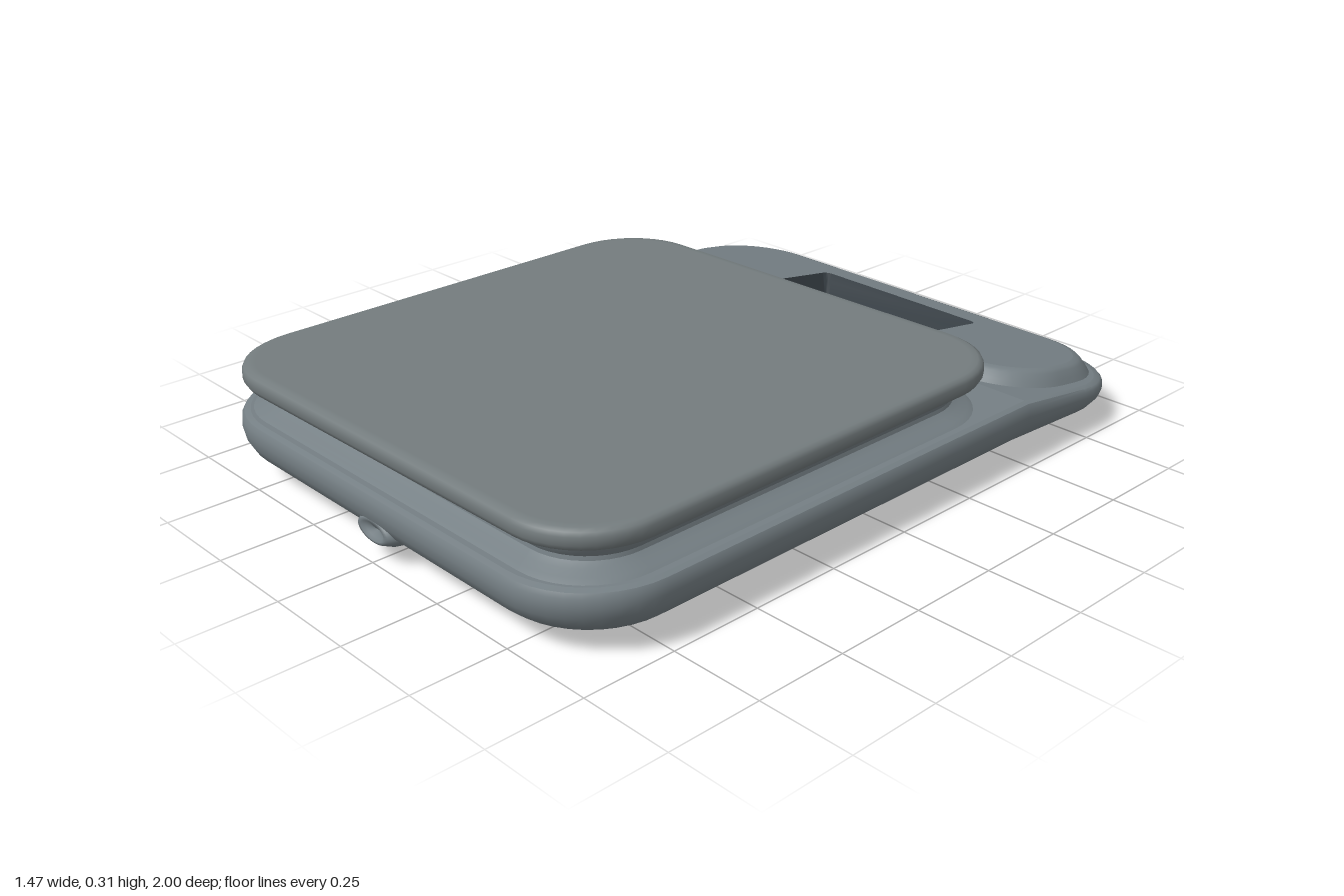
import * as THREE from 'three';
import { toCreasedNormals } from 'three/addons/utils/BufferGeometryUtils.js';

const bodyMaterial = new THREE.MeshStandardMaterial({ color: 0x757f84 });
const plateMaterial = new THREE.MeshStandardMaterial({ color: 0x747c7e });
const windowMaterial = new THREE.MeshStandardMaterial({ color: 0x3a4248 });
const CREASE = -0.5; // z where the deck starts to slope down towards the back

// Height of the deck, flat at the front and sloping under the display
const deckY = (z) => 0.175 + 0.15 * Math.min(0, z - CREASE);

// Rounded rectangle in the xz plane, shrunk by an inset; side points are shared between rings
function ring({ hx, z0, z1, r }, inset = 0) {
  const x = hx - inset, a = z0 + inset, b = z1 - inset;
  const c = Math.max(0.01, r - inset * 0.7), n = 10, pts = [];
  const corners = [[x - c, b - c], [c - x, b - c], [c - x, a + c], [x - c, a + c]];
  corners.forEach(([cx, cz], k) => {
    for (let i = 0; i <= n; i++) {
      const t = (k + i / n) * Math.PI / 2;
      pts.push([cx + c * Math.cos(t), cz + c * Math.sin(t)]);
    }
    if (k % 2) { // crease points on the two long sides
      const z = a + c < CREASE && b - c > CREASE ? CREASE : (a + b) / 2;
      pts.push([k === 1 ? -x : x, z]);
    }
  });
  return pts;
}

// Skin through rings; each section is [inset, y(x, z)]
function loft(box, sections, { start = false, end = false } = {}) {
  const pos = [], index = [];
  const rings = sections.map(([inset, y]) => ring(box, inset).map(([x, z]) => [x, y(x, z), z]));
  const n = rings[0].length;
  rings.forEach((points) => points.forEach((p) => pos.push(...p)));
  for (let i = 0; i < rings.length - 1; i++) {
    for (let j = 0; j < n; j++) {
      const a = i * n + j, b = i * n + (j + 1) % n;
      index.push(a, a + n, b, b, a + n, b + n);
    }
  }
  const cap = (s, flip) => {
    const zc = (box.z0 + box.z1) / 2, c = pos.length / 3, o = s * n;
    pos.push(0, sections[s][1](0, zc), zc);
    for (let j = 0; j < n; j++) {
      const a = o + j, b = o + (j + 1) % n;
      index.push(c, flip ? a : b, flip ? b : a);
    }
  };
  if (start) cap(0, true);
  if (end) cap(rings.length - 1, false);
  const g = new THREE.BufferGeometry();
  g.setAttribute('position', new THREE.Float32BufferAttribute(pos, 3));
  g.setIndex(index);
  return toCreasedNormals(g, 0.7);
}

// Upward facing sheet with an optional hole, lifted to y(z)
function sheet(outline, hole, y) {
  const vec = (pts) => pts.map(([x, z]) => new THREE.Vector2(x, -z));
  const shape = new THREE.Shape(vec(outline));
  if (hole) shape.holes.push(new THREE.Path(vec(hole)));
  const g = new THREE.ShapeGeometry(shape).rotateX(-Math.PI / 2);
  const p = g.attributes.position;
  for (let i = 0; i < p.count; i++) p.setY(i, y(p.getZ(i)));
  g.computeVertexNormals();
  return g;
}

export function createModel() {
  const model = new THREE.Group();
  model.name = 'kitchenScale';
  const add = (name, geometry, material = bodyMaterial) => {
    const mesh = new THREE.Mesh(geometry, material);
    mesh.name = name;
    model.add(mesh);
    return mesh;
  };

  const bodyBox = { hx: 0.737, z0: -1, z1: 1, r: 0.25 };
  const windowBox = { hx: 0.285, z0: -0.86, z1: -0.61, r: 0.02 };
  const panelBox = { hx: 0.69, z0: -0.975, z1: -0.505, r: 0.2 };
  const plateBox = { hx: 0.715, z0: -0.46, z1: 0.98, r: 0.21 };

  // Bowl-sided body: [inset, fraction of the local height]
  const bodyProfile = [[0.22, 0], [0.19, 0], [0.13, 0.04], [0.085, 0.12], [0.05, 0.23], [0.02, 0.4],
    [0.005, 0.58], [0, 0.75], [0.002, 0.9], [0.008, 0.97], [0.022, 1]];
  add('body', loft(bodyBox, bodyProfile.map(([inset, t]) =>
    [inset, (x, z) => 0.018 + t * (deckY(z) - 0.018)]), { start: true }));

  // Deck, split along its crease
  const rim = ring(bodyBox, 0.022);
  add('frontDeck', sheet(rim.filter(([, z]) => z >= CREASE), null, deckY));
  const backRim = rim.filter(([, z]) => z <= CREASE);
  add('backDeck', sheet(backRim, ring(windowBox), deckY));

  // Raised sloping display panel with its sunken window
  const panelProfile = [[0, -0.006], [0.012, 0.014], [0.024, 0.031], [0.032, 0.038], [0.045, 0.041]];
  const above = (dy) => (x, z) => deckY(z) + dy;
  add('displayPanel', loft(panelBox, panelProfile.map(([inset, dy]) => [inset, above(dy)])));
  add('displayFace', sheet(ring(panelBox, 0.045), ring(windowBox), (z) => deckY(z) + 0.041));
  add('displayWell', loft(windowBox, [[0, above(0.041)], [0.006, above(0.015)], [0.015, above(-0.025)],
    [0.04, above(-0.04)], [0.06, above(-0.04)]], { end: true }), windowMaterial);

  // Waisted neck between body and weighing plate
  const neckProfile = [[0.01, 0.17], [0.03, 0.184], [0.05, 0.192], [0.064, 0.203],
    [0.066, 0.213], [0.055, 0.23], [0.045, 0.256]];
  add('neck', loft(plateBox, neckProfile.map(([inset, y]) => [inset, () => y])));

  // Weighing plate, tilted very slightly sideways
  const plateProfile = [[0.07, 0.245], [0.05, 0.245], [0.025, 0.246], [0.008, 0.254], [0, 0.268],
    [0, 0.288], [0.004, 0.298], [0.014, 0.304], [0.03, 0.304]];
  add('weighingPlate', loft(plateBox, plateProfile.map(([inset, y]) =>
    [inset, (x) => y + 0.014 * x]), { start: true, end: true }), plateMaterial);

  // Feet: large soft ones at the corners, small ones halfway
  for (const side of [-1, 1]) {
    for (const [z, r] of [[0.78, 0.085], [-0.03, 0.05], [-0.84, 0.085]]) {
      const profile = [[0, 0], [0.55, 0], [0.72, 0.005], [0.86, 0.014], [1, 0.022]]
        .map(([k, y]) => new THREE.Vector2(k * r, y));
      add('foot', new THREE.LatheGeometry(profile, 24)).position.set(side * 0.52, 0, z);
    }
  }

  // Dimpled oval boss on the front edge
  const bossProfile = [[0.09, -0.06], [0.078, -0.015], [0.06, 0.008], [0.046, 0.01], [0.036, 0.002], [0, -0.008]]
    .map(([r, y]) => new THREE.Vector2(r, y));
  const boss = add('frontBoss', new THREE.LatheGeometry(bossProfile, 32).rotateX(Math.PI / 2).scale(1, 0.5, 1));
  boss.position.set(0, 0.08, 0.985);
  return model;
}
